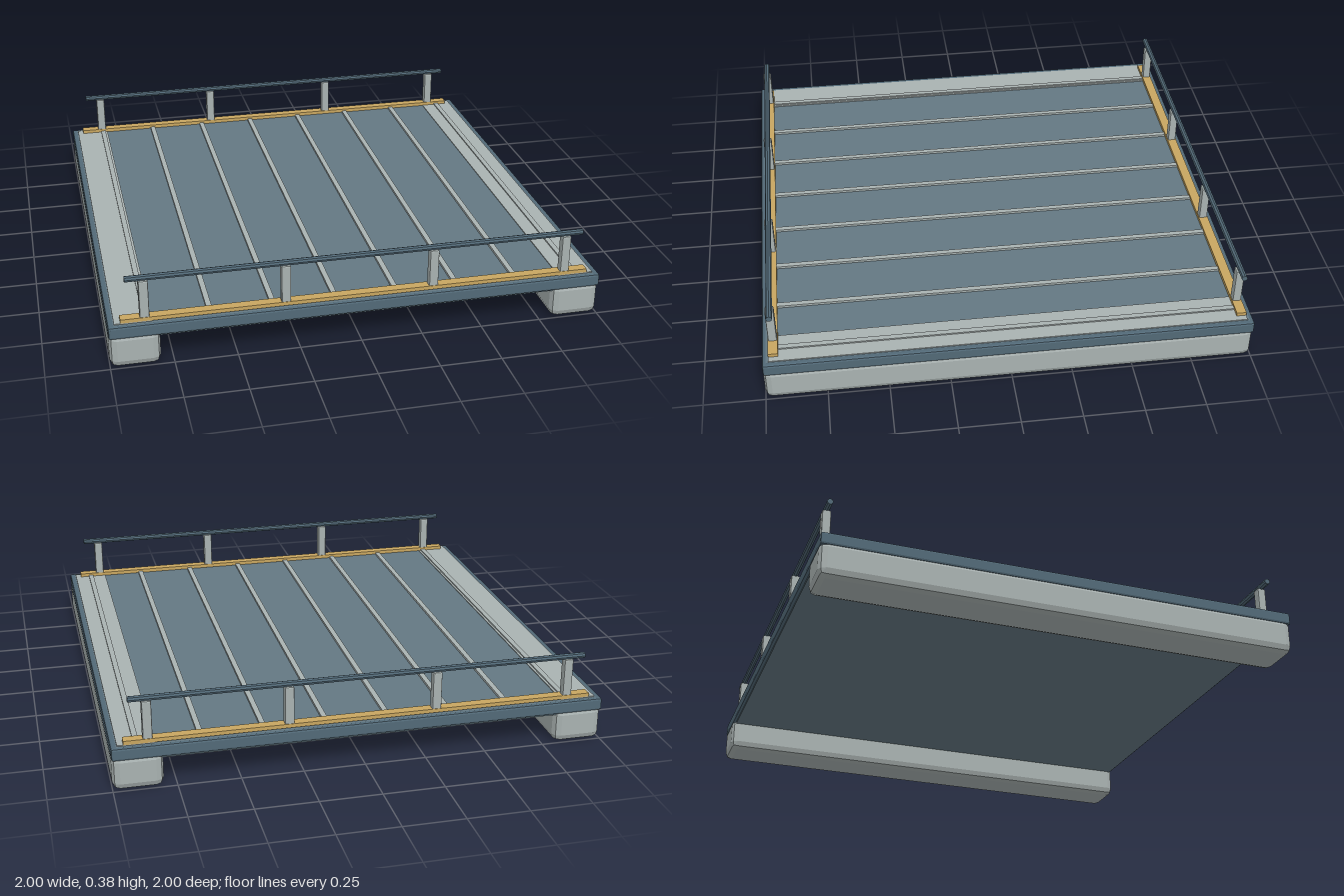
import * as THREE from 'three';
import { RoundedBoxGeometry } from 'three/addons/geometries/RoundedBoxGeometry.js';

const paint = (name, color, flatShading = true) => {
  const m = new THREE.MeshStandardMaterial({ color, flatShading });
  m.name = name;
  return m;
};

export function createModel() {
  const slate = paint('slate deck', 0x647882);
  const trim = paint('blue grey trim', 0x526977);
  const grey = paint('light grey metal', 0xa9b2b1);
  const gold = paint('ochre edging', 0xc8a660);

  const model = new THREE.Group();
  model.name = 'railedPlatform';

  // Box given by its limits on each axis; a bevel gives it chamfered edges
  const block = (name, mat, [x0, x1], [y0, y1], [z0, z1], bevel = 0) => {
    const size = [x1 - x0, y1 - y0, z1 - z0];
    const geo = bevel
      ? new RoundedBoxGeometry(...size, 1, bevel)
      : new THREE.BoxGeometry(...size);
    const mesh = new THREE.Mesh(geo, mat);
    mesh.name = name;
    mesh.position.set((x0 + x1) / 2, (y0 + y1) / 2, (z0 + z1) / 2);
    model.add(mesh);
    return mesh;
  };
  const around = (c, width) => [c - width / 2, c + width / 2];

  // Deck slab
  block('deck', slate, [-0.985, 0.985], [0.12, 0.18], [-0.985, 0.985]);

  for (const s of [-1, 1]) {
    // Chamfered support beam, side pad and side trim
    block('supportBeam', grey, around(s * 0.9, 0.2), [0, 0.15], [-1, 1], 0.03);
    block('sidePad', grey, around(s * 0.902, 0.145), [0.175, 0.184], [-0.975, 0.975]);
    block('sideTrim', trim, around(s * 0.986, 0.028), [0.128, 0.181], [-1, 1], 0.009);

    // End trim and edging strip under the railing
    block('endTrim', trim, [-0.99, 0.99], [0.128, 0.181], around(s * 0.989, 0.022), 0.009);
    block('edgingStrip', gold, [-0.95, 0.95], [0.183, 0.199], around(s * 0.955, 0.04));

    // Railing posts and handrail
    for (const x of [-0.855, -0.3, 0.3, 0.855]) {
      block('railPost', grey, around(x, 0.038), [0.18, 0.355], around(s * 0.955, 0.036), 0.006);
    }
    const rail = new THREE.Mesh(new THREE.CylinderGeometry(0.0125, 0.0125, 1.85, 8), trim);
    rail.name = 'handrail';
    rail.rotation.z = Math.PI / 2;
    rail.position.set(0, 0.363, s * 0.955);
    model.add(rail);
  }

  // Raised seams across the deck
  for (let i = 0; i < 8; i++) {
    block('deckSeam', grey, around(-0.85 + i * 0.25, 0.022), [0.178, 0.19], [-0.965, 0.965]);
  }
  return model;
}
